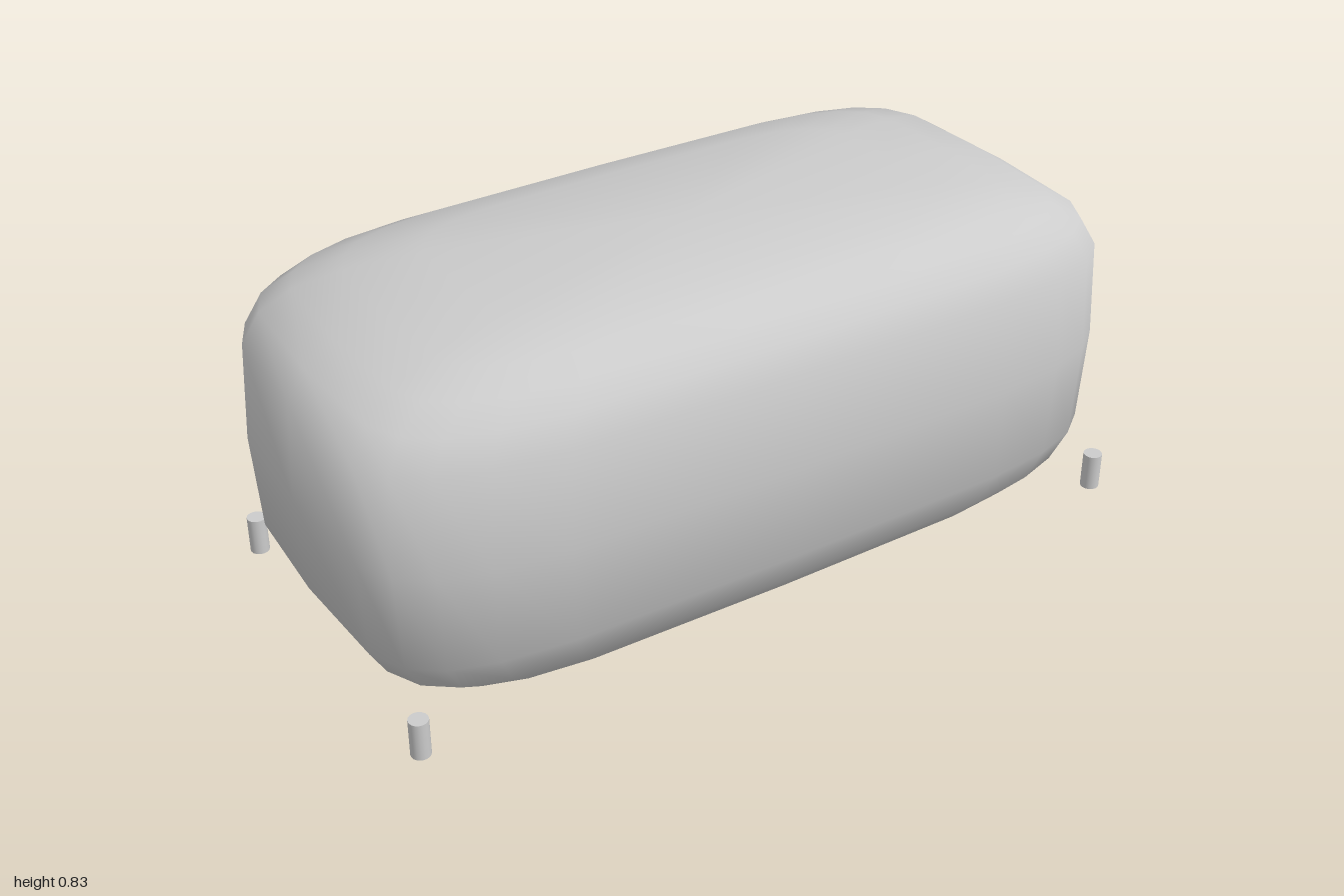
import * as THREE from 'three';

const material = new THREE.MeshStandardMaterial({ color: 0xcccccc });

// Squares off a sphere into a superellipsoid; the sphere's soft normals are kept.
function cushionGeometry(power) {
  const geometry = new THREE.SphereGeometry(1, 24, 12);
  const pos = geometry.attributes.position;
  const squash = (v) => (Math.abs(v) < 1e-6 ? 0 : Math.sign(v) * Math.abs(v) ** power);
  for (let i = 0; i < pos.count; i++) {
    pos.setXYZ(i, squash(pos.getX(i)), squash(pos.getY(i)), squash(pos.getZ(i)));
  }
  return geometry;
}

export function createModel() {
  const model = new THREE.Group();
  model.name = 'cushionSeat';

  // Puffy body
  const body = new THREE.Mesh(cushionGeometry(0.4), material);
  body.name = 'body';
  body.scale.set(1, 0.415, 0.491);
  body.position.y = 0.418;
  model.add(body);

  // Four short corner feet
  const footGeometry = new THREE.CylinderGeometry(0.023, 0.023, 0.094, 16);
  for (const x of [-0.94, 0.94]) {
    for (const z of [-0.436, 0.436]) {
      const foot = new THREE.Mesh(footGeometry, material);
      foot.name = (z > 0 ? 'front' : 'back') + (x > 0 ? 'Left' : 'Right') + 'Foot';
      foot.position.set(x, 0.047, z);
      model.add(foot);
    }
  }
  return model;
}
